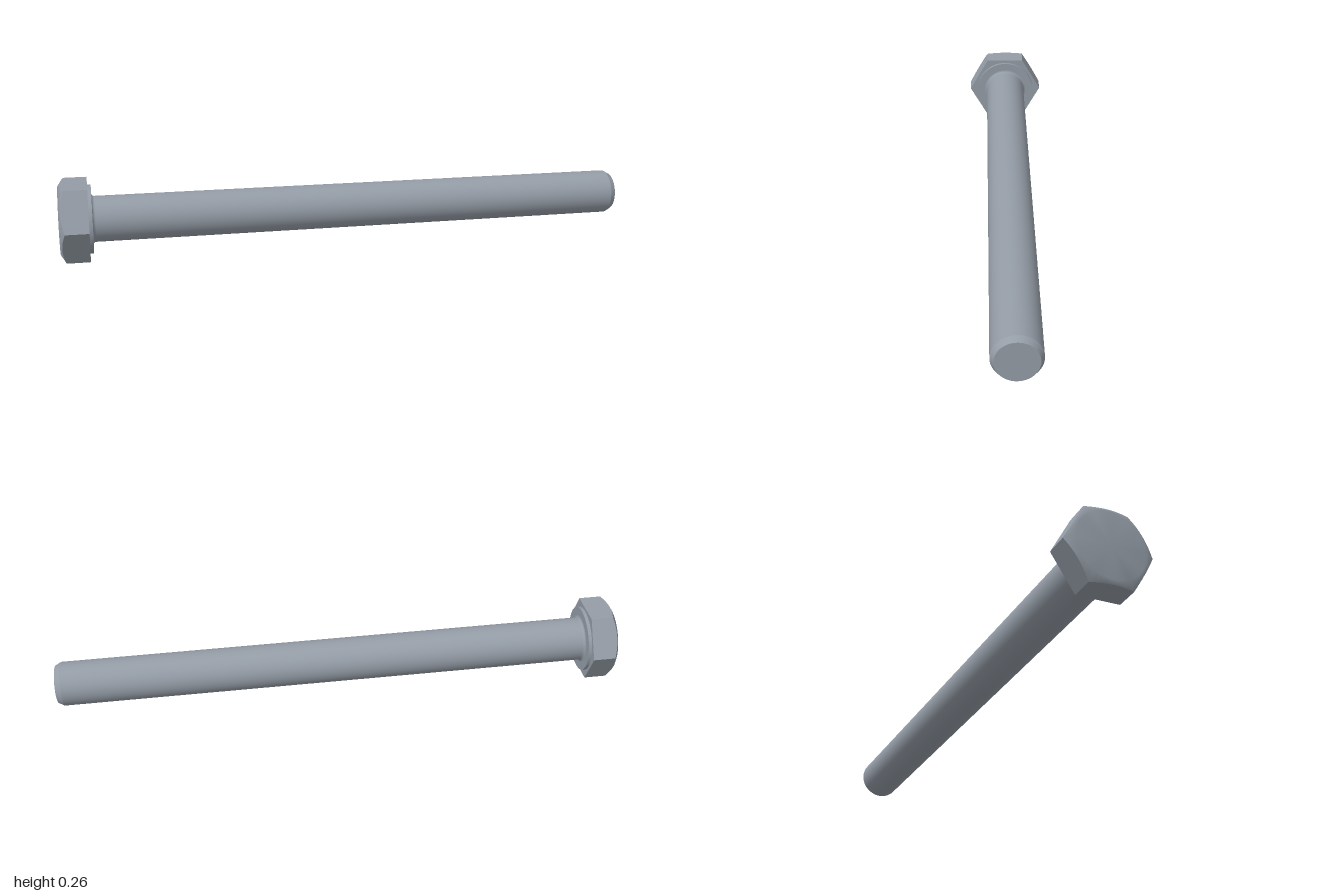
import * as THREE from 'three';

const SEGMENTS = 48;
const HALF_FLATS = 0.1275; // half the head's width across flats
const CROWN_RADIUS = 0.115; // flat disc on the head's end
const HEAD_HEIGHT = 0.097;
const WASHER_TOP = 0.109;
const SHANK_RADIUS = 0.078;
const LENGTH = 2.005;

const lathe = (points) =>
  new THREE.LatheGeometry(points.map(([r, y]) => new THREE.Vector2(r, y)), SEGMENTS);

// Turns every ring wider than the crown into a hexagon; chamfered rings (y = 0) follow a 30 degree cone
function makeHexagonal(geometry) {
  const p = geometry.attributes.position;
  for (let i = 0; i < p.count; i++) {
    const x = p.getX(i), z = p.getZ(i);
    if (Math.hypot(x, z) < CROWN_RADIUS + 0.001) continue;
    const angle = Math.atan2(x, z) + Math.PI * 2 + 1e-6;
    const r = HALF_FLATS / Math.cos((angle % (Math.PI / 3)) - Math.PI / 6);
    const y = p.getY(i) === 0 ? (r - CROWN_RADIUS) * 0.58 : p.getY(i);
    p.setXYZ(i, r * Math.sin(angle), y, r * Math.cos(angle));
  }
  return geometry;
}

export function createModel() {
  const steel = new THREE.MeshStandardMaterial({ color: 0x949ca6 });
  steel.name = 'steel grey';

  const bolt = new THREE.Group();
  bolt.name = 'bolt';
  const add = (name, geometry) => {
    const mesh = new THREE.Mesh(geometry, steel);
    mesh.name = name;
    bolt.add(mesh);
  };

  // Head: softly shaded crown, then flat sides and underside
  const crown = makeHexagonal(lathe([[0, 0], [CROWN_RADIUS, 0], [0.14, 0]]));
  crown.computeVertexNormals();
  add('headCrown', crown);

  const sides = makeHexagonal(lathe([[0.14, 0], [0.14, HEAD_HEIGHT], [0, HEAD_HEIGHT]])).toNonIndexed();
  sides.computeVertexNormals();
  add('headSides', sides);

  // Raised bearing ring under the head
  add('washerRim', lathe([[0.1165, HEAD_HEIGHT], [0.1165, WASHER_TOP]]));
  add('washerFace', lathe([[0.1165, WASHER_TOP], [0.07, WASHER_TOP]]));

  // Fillet curving from the washer face into the shank
  const fillet = [];
  const f = 0.009;
  for (let i = 0; i <= 5; i++) {
    const a = (i / 5) * Math.PI / 2;
    fillet.push([SHANK_RADIUS + f * (1 - Math.sin(a)), WASHER_TOP + f * (1 - Math.cos(a))]);
  }
  add('shankFillet', lathe(fillet));

  // Shank with a chamfered tip
  add('shank', lathe([[SHANK_RADIUS, WASHER_TOP + f], [SHANK_RADIUS, LENGTH - 0.02]]));
  add('tipChamfer', lathe([[SHANK_RADIUS, LENGTH - 0.02], [0.067, LENGTH]]));
  add('tipFace', lathe([[0.067, LENGTH], [0, LENGTH]]));

  // Lay the bolt down on its head and tip, keeping two head flats level
  const start = new THREE.Vector3(-0.975, 0.128, -0.175);
  const axis = new THREE.Vector3(0.986, 0.08, 0.242).sub(start).normalize();
  const side = new THREE.Vector3(-axis.z, 0, axis.x).normalize();
  const across = new THREE.Vector3().crossVectors(axis, side);
  bolt.quaternion.setFromRotationMatrix(new THREE.Matrix4().makeBasis(across, axis, side));
  bolt.position.copy(start);

  const model = new THREE.Group();
  model.name = 'hexBolt';
  model.add(bolt);
  return model;
}
